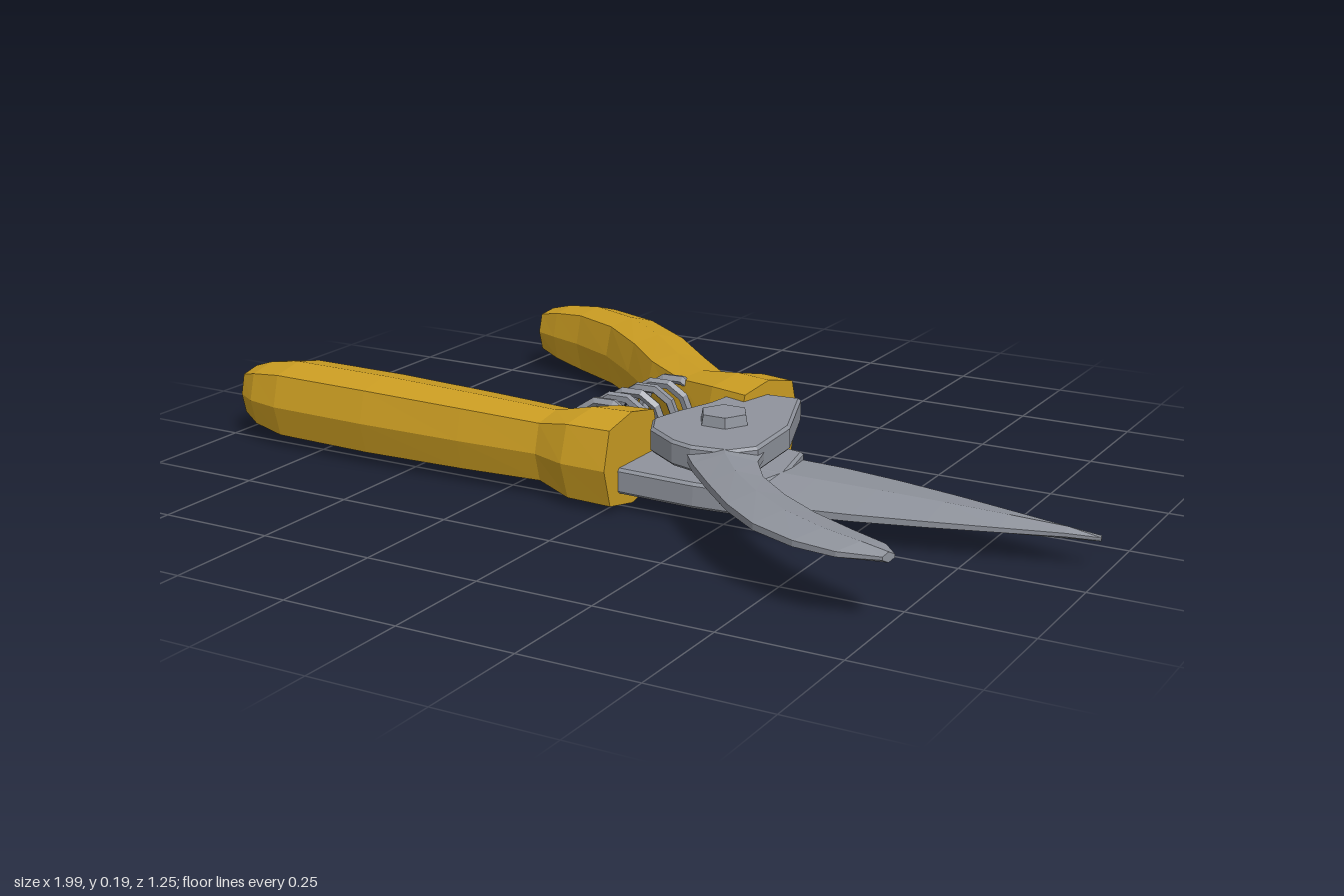
import * as THREE from 'three';

const gold = new THREE.MeshStandardMaterial({ color: 0xcb9d22, flatShading: true });
gold.name = 'golden grip';
const steel = new THREE.MeshStandardMaterial({ color: 0x8f939c, flatShading: true });
steel.name = 'grey steel';

// Cross-sections (across, up), counter-clockwise
const gripSection = [[1, 0], [0.8, 0.82], [0, 1], [-0.8, 0.82], [-1, 0], [-0.8, -0.82], [0, -1], [0.8, -0.82]];
const bladeSection = [[1, 0.3], [0, 1], [-1, 0.3], [-1, -0.3], [0, -1], [1, -0.3]];

// Skins a section through stations [x1, z1, x2, z2, halfHeight]: the two edges of the part seen from above
function loft(name, material, section, y, stations) {
  const pos = [], index = [], n = section.length;
  for (const [xa, za, xb, zb, h] of stations) {
    for (const [u, v] of section) {
      const t = (u + 1) / 2;
      pos.push(xa + (xb - xa) * t, y + v * h, za + (zb - za) * t);
    }
  }
  const last = stations.length - 1;
  for (let i = 0; i < last; i++) {
    for (let j = 0; j < n; j++) {
      const a = i * n + j, b = i * n + (j + 1) % n;
      index.push(a, a + n, b, b, a + n, b + n);
    }
  }
  for (let j = 1; j < n - 1; j++) {
    index.push(0, j, j + 1);
    index.push(last * n, last * n + j + 1, last * n + j);
  }
  const geo = new THREE.BufferGeometry();
  geo.setAttribute('position', new THREE.Float32BufferAttribute(pos, 3));
  geo.setIndex(index);
  const flat = geo.toNonIndexed();
  flat.computeVertexNormals();
  const mesh = new THREE.Mesh(flat, material);
  mesh.name = name;
  return mesh;
}

// Flat plate from an outline in x, z with a small bevel
function plate(name, outline, y0, y1) {
  const bevel = 0.006;
  const shape = new THREE.Shape(outline.map(([x, z]) => new THREE.Vector2(x, -z)));
  const geo = new THREE.ExtrudeGeometry(shape, {
    depth: y1 - y0 - 2 * bevel, bevelEnabled: true, bevelSegments: 1,
    bevelSize: bevel, bevelThickness: bevel, bevelOffset: -bevel,
  });
  geo.rotateX(-Math.PI / 2);
  geo.translate(0, y0 + bevel, 0);
  const mesh = new THREE.Mesh(geo, steel);
  mesh.name = name;
  return mesh;
}

// Upright pivot part
function pivotPart(name, rTop, rBottom, y0, y1, sides, turn = 0) {
  const geo = new THREE.CylinderGeometry(rTop, rBottom, y1 - y0, sides);
  geo.rotateY(turn);
  const mesh = new THREE.Mesh(geo, steel);
  mesh.position.set(0.17, (y0 + y1) / 2, 0.1);
  mesh.name = name;
  return mesh;
}

export function createModel() {
  const model = new THREE.Group();
  model.name = 'pruningShears';

  // Grips, from rounded tip to flared collar
  model.add(loft('straightGrip', gold, gripSection, 0.1, [
    [-1, 0.199, -1, 0.201, 0.001],
    [-0.97, 0.145, -0.97, 0.255, 0.053],
    [-0.92, 0.128, -0.92, 0.285, 0.07],
    [-0.84, 0.12, -0.84, 0.303, 0.083],
    [-0.6, 0.125, -0.6, 0.31, 0.084],
    [-0.35, 0.138, -0.35, 0.308, 0.08],
    [-0.15, 0.15, -0.16, 0.302, 0.075],
    [-0.05, 0.12, -0.08, 0.332, 0.095],
    [0.025, 0.114, 0.025, 0.335, 0.097],
  ]));
  model.add(loft('curvedGrip', gold, gripSection, 0.1, [
    [-0.709, -0.591, -0.707, -0.589, 0.001],
    [-0.665, -0.628, -0.692, -0.538, 0.053],
    [-0.6, -0.622, -0.635, -0.515, 0.07],
    [-0.5, -0.605, -0.55, -0.485, 0.083],
    [-0.36, -0.548, -0.43, -0.425, 0.085],
    [-0.22, -0.45, -0.31, -0.325, 0.082],
    [-0.1, -0.335, -0.2, -0.22, 0.078],
    [0.0, -0.24, -0.075, -0.13, 0.076],
    [0.1, -0.24, 0.04, -0.06, 0.094],
    [0.18, -0.218, 0.135, -0.03, 0.096],
  ]));

  // Straight cutting blade with its tang
  model.add(plate('cuttingTang', [
    [-0.02, 0.14], [0.04, 0.06], [0.1, -0.02], [0.18, -0.03], [0.3, -0.005],
    [0.33, 0.14], [0.3, 0.28], [0.2, 0.288], [-0.02, 0.28],
  ], 0.038, 0.092));
  model.add(loft('cuttingBlade', steel, bladeSection, 0.067, [
    [0.26, -0.005, 0.26, 0.288, 0.026],
    [0.4, 0.003, 0.4, 0.283, 0.025],
    [0.53, 0.022, 0.53, 0.257, 0.023],
    [0.67, 0.05, 0.67, 0.22, 0.02],
    [0.8, 0.08, 0.8, 0.182, 0.016],
    [0.92, 0.112, 0.92, 0.146, 0.012],
    [0.985, 0.128, 0.985, 0.132, 0.006],
  ]));

  // Hooked counter blade with its body
  model.add(plate('hookBody', [
    [0.09, -0.12], [0.23, -0.132], [0.3, 0.06], [0.31, 0.22], [0.27, 0.27],
    [0.19, 0.28], [0.14, 0.265], [0.06, 0.21], [0.03, 0.15], [0.045, 0.08], [0.075, -0.01],
  ], 0.112, 0.165));
  model.add(loft('hookBlade', steel, bladeSection, 0.138, [
    [0.308, 0.19, 0.16, 0.25, 0.027],
    [0.325, 0.25, 0.22, 0.325, 0.027],
    [0.375, 0.325, 0.3, 0.41, 0.025],
    [0.46, 0.4, 0.39, 0.5, 0.024],
    [0.55, 0.46, 0.48, 0.57, 0.022],
    [0.65, 0.51, 0.58, 0.613, 0.02],
    [0.73, 0.545, 0.67, 0.625, 0.017],
    [0.763, 0.58, 0.75, 0.605, 0.01],
  ]));

  // Pivot bolt
  model.add(pivotPart('boltHead', 0.05, 0.055, 0.16, 0.187, 6, Math.PI / 6 + Math.PI / 3));
  model.add(pivotPart('boltShaft', 0.035, 0.035, 0.03, 0.17, 12));
  model.add(pivotPart('nutRim', 0.065, 0.065, 0.019, 0.042, 16));
  model.add(pivotPart('nutFace', 0.065, 0.052, 0.008, 0.019, 16));

  // Coil spring between the grips
  const turns = 6, perTurn = 10, coil = [];
  for (let i = 0; i <= turns * perTurn; i++) {
    const t = i / (turns * perTurn), a = t * turns * Math.PI * 2;
    coil.push(new THREE.Vector3(
      -0.08 - 0.045 * t + 0.066 * Math.cos(a),
      0.1 + 0.066 * Math.sin(a),
      -0.145 + 0.275 * t,
    ));
  }
  const spring = new THREE.Mesh(
    new THREE.TubeGeometry(new THREE.CatmullRomCurve3(coil), turns * perTurn, 0.011, 5), steel);
  spring.name = 'spring';
  model.add(spring);

  return model;
}
